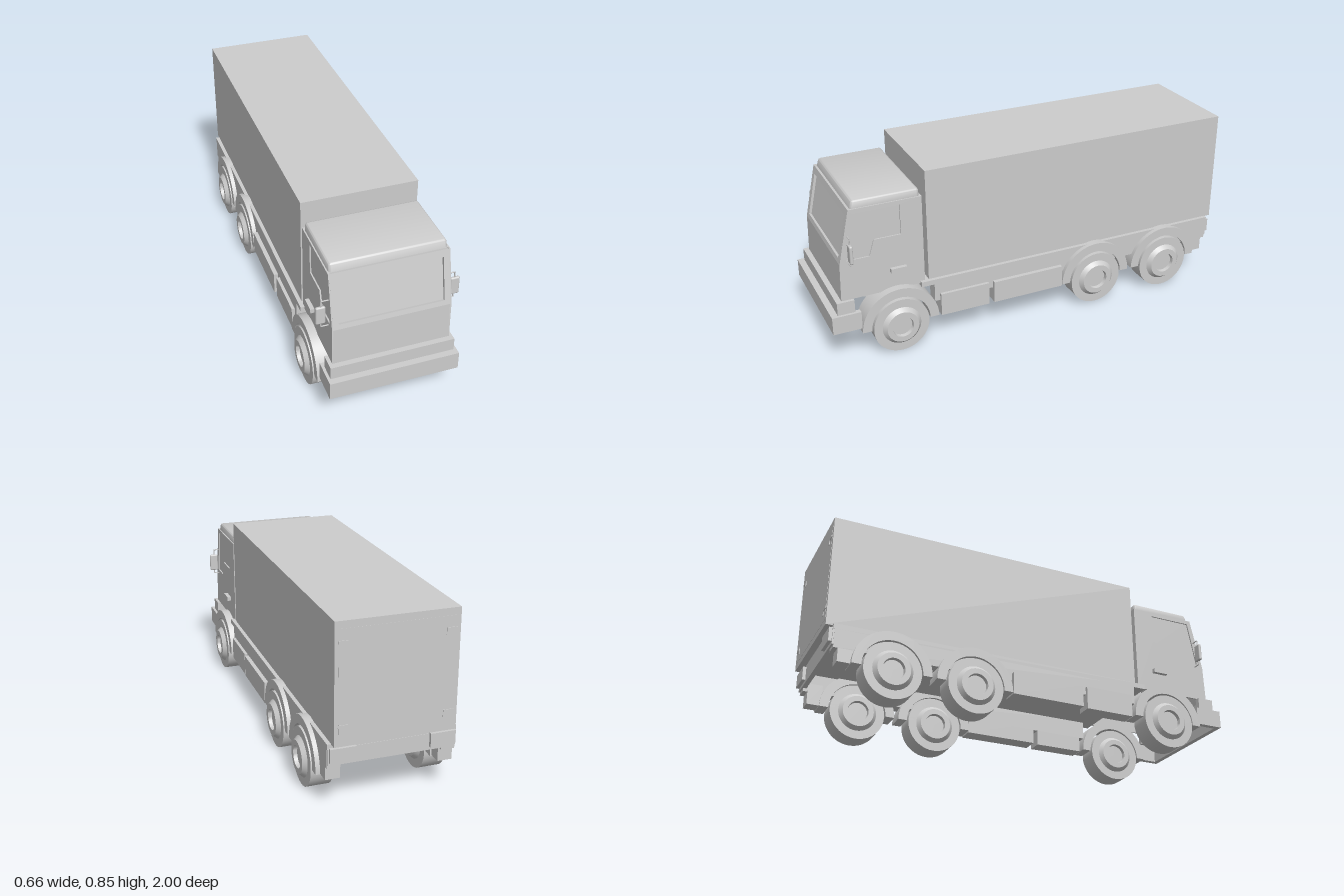
import * as THREE from 'three';
import { toCreasedNormals } from 'three/addons/utils/BufferGeometryUtils.js';
import { RoundedBoxGeometry } from 'three/addons/geometries/RoundedBoxGeometry.js';

export function createModel() {
  const truck = new THREE.Group();
  truck.name = 'truck';
  const grey = new THREE.MeshStandardMaterial({ color: 0xcccccc });
  grey.name = 'plain grey';

  const add = (name, geometry) => {
    const mesh = new THREE.Mesh(geometry, grey);
    mesh.name = name;
    truck.add(mesh);
    return mesh;
  };
  // box given by its limits on each axis
  const box = (name, x0, x1, y0, y1, z0, z1) =>
    add(name, new THREE.BoxGeometry(x1 - x0, y1 - y0, z1 - z0)
      .translate((x0 + x1) / 2, (y0 + y1) / 2, (z0 + z1) / 2));
  // the same box on both sides
  const pair = (name, x0, x1, ...rest) => {
    box(name + 'Left', x0, x1, ...rest);
    box(name + 'Right', -x1, -x0, ...rest);
  };
  const poly = pts => pts.map(p => new THREE.Vector2(...p));
  // side profile in (z, y), extruded from x0 to x1
  const profile = (name, shape, x0, x1) =>
    add(name, toCreasedNormals(new THREE.ExtrudeGeometry(shape,
      { depth: x1 - x0, bevelEnabled: false, curveSegments: 24 })
      .rotateY(-Math.PI / 2).translate(x1, 0, 0), 0.5));
  const profilePair = (name, shape, x0, x1) => {
    profile(name + 'Left', shape, x0, x1);
    profile(name + 'Right', shape, -x1, -x0);
  };

  // cargo box
  box('cargoBox', -0.268, 0.268, 0.31, 0.847, -0.996, 0.535);
  box('rearDoors', -0.25, 0.25, 0.34, 0.815, -0.997, -0.99);
  for (const y of [0.40, 0.76]) {
    pair('doorHinge', 0.208, 0.252, y - 0.006, y + 0.006, -1, -0.99);
    pair('hingePin', 0.206, 0.216, y - 0.026, y + 0.006, -1, -0.99);
  }

  // cab shell open underneath, with the windscreen face set back
  profile('cabShell', new THREE.Shape(poly([
    [0.553, 0.3], [0.565, 0.3], [0.565, 0.721], [0.863, 0.721], [0.916, 0.478], [0.932, 0.3],
    [0.945, 0.3], [0.94, 0.478], [0.928, 0.478], [0.873, 0.732], [0.553, 0.732],
  ])), -0.26, 0.26);

  // cab sides with window recesses, backed by the glass
  const cabSide = new THREE.Shape(poly([
    [0.553, 0.3], [0.945, 0.3], [0.94, 0.478], [0.885, 0.732], [0.553, 0.732],
  ]));
  cabSide.holes.push(new THREE.Path(poly([
    [0.868, 0.712], [0.655, 0.712], [0.655, 0.568], [0.78, 0.568], [0.803, 0.492], [0.908, 0.492],
  ])));
  profilePair('cabSide', cabSide, 0.26, 0.267);
  profilePair('sideGlass', new THREE.Shape(poly([
    [0.56, 0.47], [0.925, 0.47], [0.872, 0.725], [0.56, 0.725],
  ])), 0.254, 0.2605);

  // sloping windscreen frame
  const rect = (T, x, y0, y1) => new T(poly([[-x, y0], [x, y0], [x, y1], [-x, y1]]));
  const frame = rect(THREE.Shape, 0.262, 0, 0.26);
  frame.holes.push(rect(THREE.Path, 0.236, 0.023, 0.226));
  const screen = add('windscreenFrame', new THREE.ExtrudeGeometry(frame,
    { depth: 0.012, bevelEnabled: false }).translate(0, 0, -0.012));
  screen.position.set(0, 0.478, 0.94);
  screen.rotation.x = -Math.atan2(0.055, 0.255);

  // roof cap, narrowing slightly upward
  const roof = new RoundedBoxGeometry(0.526, 0.06, 0.318, 3, 0.012);
  const rp = roof.attributes.position;
  for (let i = 0; i < rp.count; i++) {
    const t = (rp.getY(i) + 0.03) / 0.06;
    rp.setX(i, rp.getX(i) * (1 - 0.02 * t));
    if (rp.getZ(i) > 0) rp.setZ(i, rp.getZ(i) - 0.014 * t);
  }
  roof.computeVertexNormals();
  add('cabRoof', toCreasedNormals(roof.translate(0, 0.737, 0.72), 0.6));

  // door handles
  pair('doorHandle', 0.264, 0.286, 0.393, 0.413, 0.64, 0.715);

  // mirrors on bent arms, the right one set a little further out
  for (const [side, s, out] of [['Left', 1, 0], ['Right', -1, 0.008]]) {
    const x = s * (0.293 + out);
    add('mirror' + side, new RoundedBoxGeometry(0.043, 0.088, 0.016, 3, 0.007)
      .translate(x + s * 0.002, 0.538, 0.896));
    for (const [y, end] of [[0.609, 0.57], [0.476, 0.5]]) {
      const path = new THREE.CurvePath();
      const corner = new THREE.Vector3(x, y, 0.896);
      path.add(new THREE.LineCurve3(new THREE.Vector3(s * 0.255, y, 0.896), corner));
      path.add(new THREE.LineCurve3(corner, new THREE.Vector3(x, end, 0.896)));
      add('mirrorArm' + side, new THREE.TubeGeometry(path, 16, 0.003, 6));
    }
  }

  // front bumper: upper step over a hollow lower shell
  box('bumperStep', -0.282, 0.282, 0.24, 0.3, 0.932, 0.97);
  pair('bumperStepEnd', 0.258, 0.282, 0.24, 0.3, 0.89, 0.932);
  box('bumperFront', -0.295, 0.295, 0.155, 0.24, 0.975, 1);
  box('bumperTop', -0.295, 0.295, 0.228, 0.24, 0.932, 0.975);
  pair('bumperEnd', 0.27, 0.295, 0.155, 0.24, 0.866, 0.975);

  // chassis floor and side skirts
  box('chassisFloor', -0.286, 0.286, 0.288, 0.312, -0.965, 0.576);
  pair('sideSkirt', 0.225, 0.286, 0.2, 0.3, -0.96, 0.515);
  pair('toolBox', 0.225, 0.301, 0.126, 0.236, 0.25, 0.49);
  pair('sidePanel', 0.225, 0.306, 0.13, 0.236, -0.13, 0.226);

  // rear bar, lamps and mudguard ends
  box('rearBar', -0.284, 0.284, 0.215, 0.29, -0.967, -0.945);
  pair('rearLamp', 0.165, 0.278, 0.23, 0.295, -0.982, -0.96);
  pair('mudFlap', 0.22, 0.286, 0.138, 0.24, -0.94, -0.87);

  // wheel turned about its axle, with a dished hub on both faces
  const wheelGeometry = toCreasedNormals(new THREE.LatheGeometry(poly([
    [0, 0.208], [0.047, 0.208], [0.05, 0.191], [0.075, 0.191], [0.092, 0.209], [0.132, 0.209],
    [0.132, 0.31], [0.092, 0.31], [0.075, 0.329], [0.05, 0.329], [0.047, 0.312], [0, 0.312],
  ]), 40), 0.5);

  // half-ring fender
  const arch = z => {
    const s = new THREE.Shape();
    s.absarc(z, 0.135, 0.182, 0, Math.PI, false);
    s.absarc(z, 0.135, 0.139, Math.PI, 0, true);
    s.closePath();
    return s;
  };

  for (const [name, z] of [['front', 0.687], ['middle', -0.315], ['rear', -0.7]]) {
    for (const [side, s] of [['Left', 1], ['Right', -1]]) {
      const wheel = add(name + 'Wheel' + side, wheelGeometry);
      wheel.rotation.z = -s * Math.PI / 2;
      wheel.position.set(0, 0.132, z);
    }
    profilePair(name + 'Fender', arch(z), 0.212, 0.306);
  }

  return truck;
}
